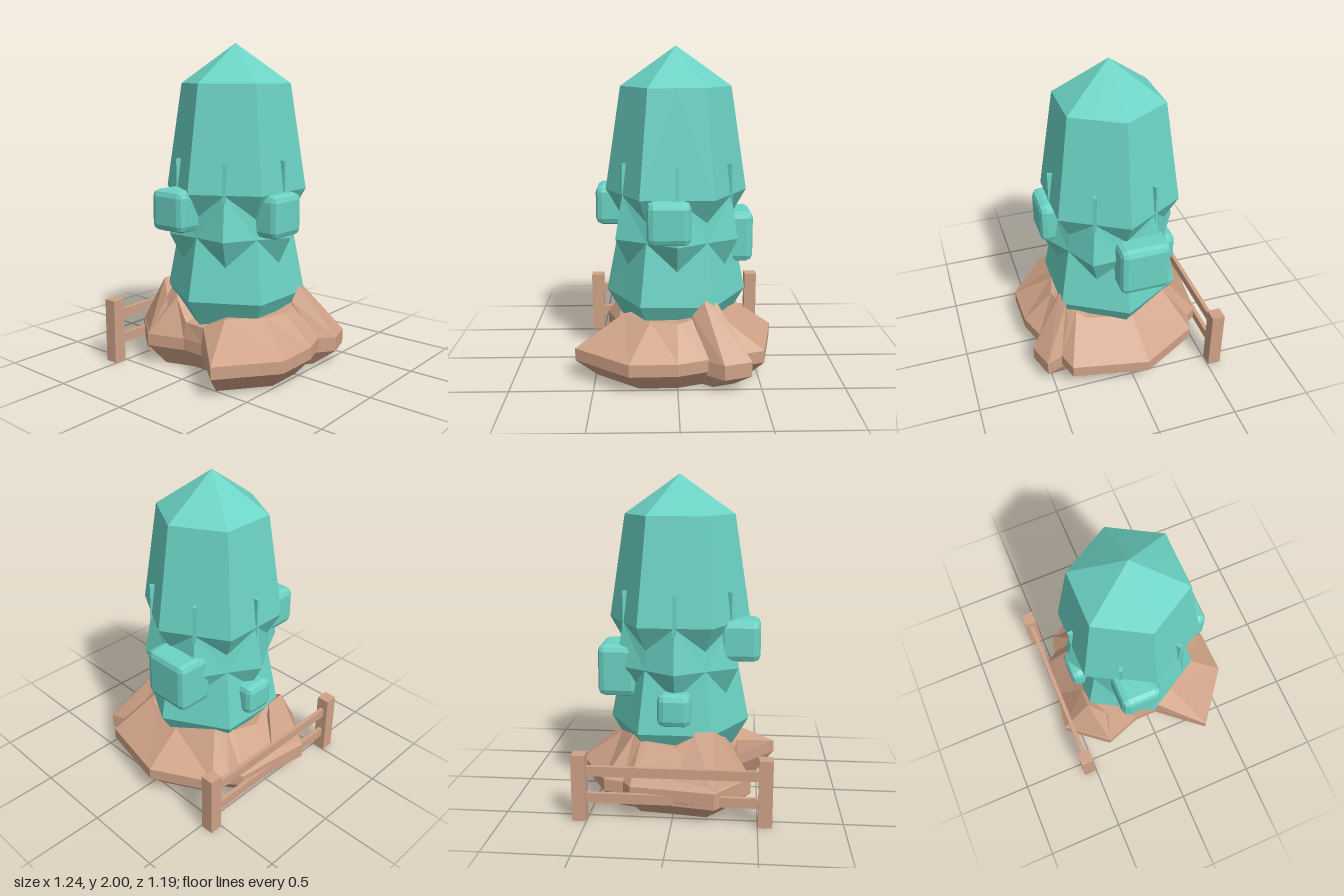
import * as THREE from 'three';
import { RoundedBoxGeometry } from 'three/addons/geometries/RoundedBoxGeometry.js';
import { ConvexGeometry } from 'three/addons/geometries/ConvexGeometry.js';

// Faceted skin over rings listed top to bottom, each counter-clockwise from above
function loft(rings, alternate = false) {
  const out = [];
  const tri = (a, b, c) => {
    const area = b.clone().sub(a).cross(c.clone().sub(a)).length();
    if (area > 1e-6) for (const p of [a, b, c]) out.push(p.x, p.y, p.z);
  };
  const n = rings[0].length;
  for (let r = 0; r < rings.length - 1; r++) {
    for (let j = 0; j < n; j++) {
      const k = (j + 1) % n;
      const a = rings[r][j], b = rings[r][k], c = rings[r + 1][j], d = rings[r + 1][k];
      if (alternate && j % 2) { tri(a, c, b); tri(b, c, d); }
      else { tri(a, c, d); tri(a, d, b); }
    }
  }
  const g = new THREE.BufferGeometry();
  g.setAttribute('position', new THREE.Float32BufferAttribute(out, 3));
  g.computeVertexNormals();
  return g;
}

export function createModel() {
  const model = new THREE.Group();
  model.name = 'crystalOnMound';
  const crystal = new THREE.MeshStandardMaterial({ name: 'teal', color: 0x6bd3c4, flatShading: true });
  const earth = new THREE.MeshStandardMaterial({ name: 'earthBrown', color: 0xcfa287, flatShading: true });
  const V = (x, y, z) => new THREE.Vector3(x, y, z);
  const add = (name, geometry, material, x = 0, y = 0, z = 0) => {
    const mesh = new THREE.Mesh(geometry, material);
    mesh.name = name;
    mesh.position.set(x, y, z);
    model.add(mesh);
    return mesh;
  };

  // Hexagonal column: [corner y, corner radius, face-centre y, face-centre radius]
  const levels = [
    [2, 0, 2, 0],
    [1.76, 0.34, 1.76, 0.2945],
    [1.12, 0.44, 1.12, 0.381],
    [0.97, 0.355, 1.12, 0.381],
    [0.85, 0.365, 0.85, 0.43],
    [0.85, 0.365, 0.68, 0.345],
    [0.47, 0.44, 0.47, 0.381],
    [0.3, 0.34, 0.3, 0.294],
    [0.3, 0, 0.3, 0],
  ];
  const column = levels.map(([cy, cr, my, mr]) => Array.from({ length: 12 }, (_, i) => {
    const t = i * Math.PI / 6, r = i % 2 ? cr : mr;
    return V(Math.sin(t) * r, i % 2 ? cy : my, Math.cos(t) * r);
  }));
  add('crystalColumn', loft(column, true), crystal);

  // Thin rib in the middle of each face
  for (let i = 0; i < 6; i++) {
    const t = i * Math.PI / 3;
    const rib = add('faceRib', new THREE.BoxGeometry(0.02, 0.25, 0.05), crystal,
      Math.sin(t) * 0.361, 1.185, Math.cos(t) * 0.361);
    rib.rotation.y = t;
  }

  // Bevelled blocks growing from the column: [name, min corner, max corner]
  const blocks = [
    ['frontBlock', [-0.18, 0.86, 0.22], [0.08, 1.12, 0.455]],
    ['leftBlock', [0.24, 0.66, -0.245], [0.485, 0.98, 0.07]],
    ['rightBlock', [-0.505, 0.89, -0.24], [-0.25, 1.14, 0.01]],
    ['backBlock', [-0.1, 0.53, -0.435], [0.1, 0.73, -0.22]],
  ];
  for (const [name, a, b] of blocks) {
    const s = a.map((v, i) => b[i] - v), c = a.map((v, i) => (b[i] + v) / 2);
    const g = new RoundedBoxGeometry(...s, 1, 0.04);
    g.computeVertexNormals();
    add(name, g, crystal, ...c);
  }

  // Earth mound: outline [x, z, height of the inner rim]
  const outline = [
    [0, 0.59, 0.375], [0.17, 0.53, 0.4], [0.4, 0.44, 0.4], [0.525, 0.4, 0.375],
    [0.62, -0.07, 0.375], [0.42, -0.43, 0.44], [0.3, -0.46, 0.44], [0.25, -0.53, 0.42],
    [0, -0.56, 0.4], [-0.25, -0.595, 0.48], [-0.46, -0.335, 0.42], [-0.38, -0.1, 0.3],
    [-0.38, 0.05, 0.3], [-0.62, 0.335, 0.37], [-0.285, 0.595, 0.375],
  ];
  const ring = (f) => outline.map(([x, z, h]) => f(x, z, h, Math.hypot(x, z)));
  add('mound', loft([
    ring(() => V(0, 0.375, 0)),
    ring((x, z, h, r) => V(x / r * 0.37, h, z / r * 0.4)),
    ring((x, z) => V(x, 0.2, z)),
    ring((x, z) => V(x, 0.125, z)),
    ring((x, z) => V(x * 0.8, 0, z * 0.8)),
    ring(() => V(0, 0, 0)),
  ]), earth);

  // Rock ridges leaning against the column
  const rock = (name, top, foot) => {
    const pts = top.map((p) => V(...p));
    for (const [x, z] of foot) pts.push(V(x, 0.19, z), V(x, 0.1, z), V(x * 0.78, 0, z * 0.78));
    add(name, new ConvexGeometry(pts), earth);
  };
  rock('frontRidge', [[0.09, 0.42, 0.38], [0.16, 0.51, 0.38], [0.24, 0.49, 0.36]],
    [[0.17, 0.52], [0.27, 0.595], [0.435, 0.54], [0.4, 0.44]]);
  rock('backRidge', [[-0.24, 0.51, -0.4], [-0.12, 0.5, -0.4], [-0.32, 0.42, -0.3]],
    [[0, -0.555], [-0.25, -0.595], [-0.46, -0.335]]);

  // Fence behind the mound
  for (const side of [-1, 1]) {
    add('fencePost', new THREE.BoxGeometry(0.082, 0.405, 0.082), earth, side * 0.544, 0.2025, -0.547);
  }
  for (const y of [0.3, 0.135]) {
    add('fenceRail', new THREE.BoxGeometry(1.02, 0.06, 0.026), earth, 0, y, -0.547);
  }
  return model;
}
